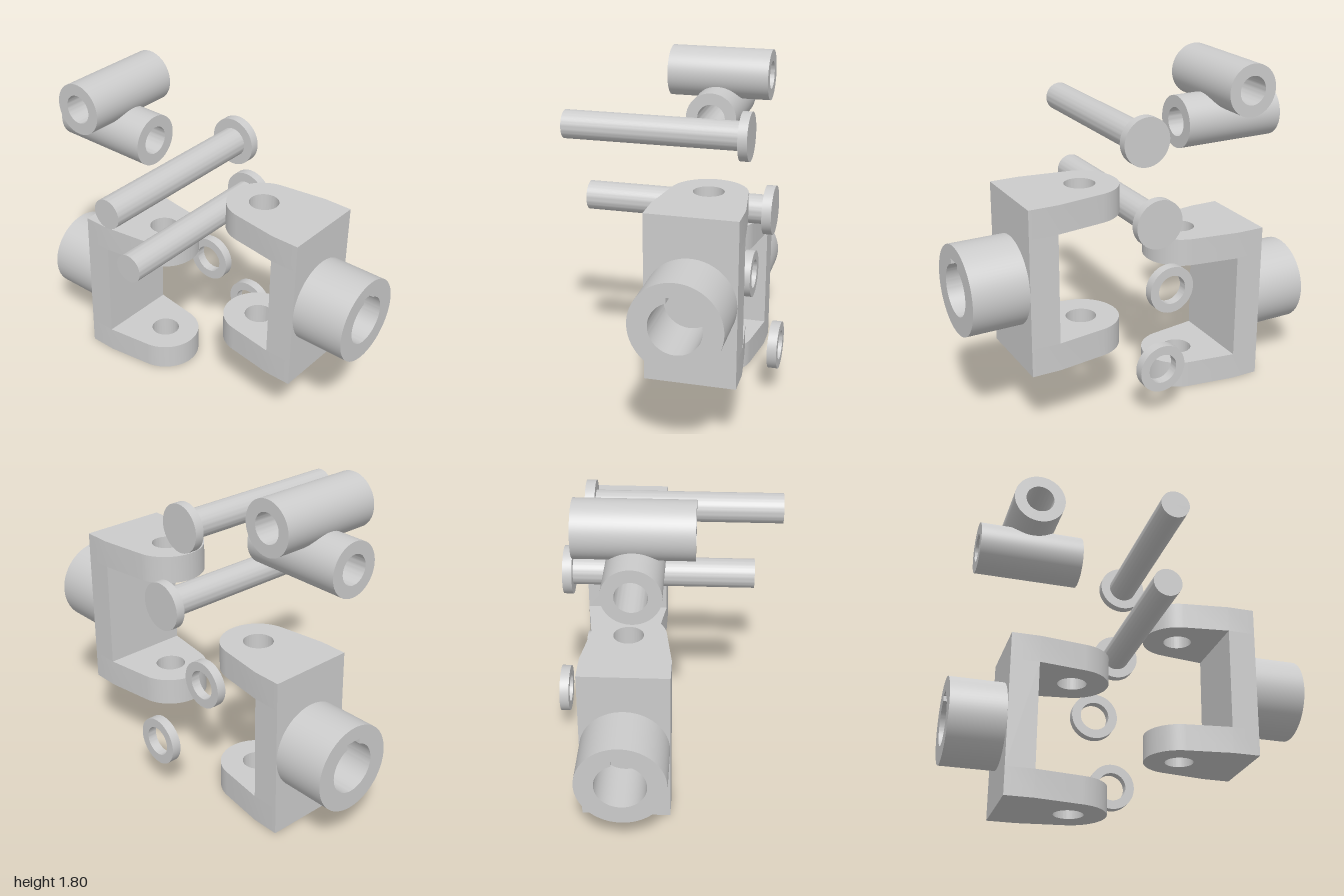
import * as THREE from 'three';
import { toCreasedNormals } from 'three/addons/utils/BufferGeometryUtils.js';

const material = new THREE.MeshStandardMaterial({ color: 0xcccccc });
const SEGMENTS = 64;

function part(name, geometry, parent) {
  const mesh = new THREE.Mesh(geometry, material);
  mesh.name = name;
  parent.add(mesh);
  return mesh;
}

const lathe = (points) =>
  toCreasedNormals(new THREE.LatheGeometry(points.map(([r, y]) => new THREE.Vector2(r, y)), SEGMENTS), 0.6);

const extrude = (shape, depth) =>
  toCreasedNormals(new THREE.ExtrudeGeometry(shape, { depth, bevelEnabled: false, curveSegments: 40 }), 0.4);

// Hollow cylinder along y, centred, with its walls divided into rows
function tube(outer, inner, length, rows = 1) {
  const points = [[inner, -length / 2]];
  for (let i = 0; i <= rows; i++) points.push([outer, length * (i / rows - 0.5)]);
  points.push([inner, length / 2], [inner, -length / 2]);
  return lathe(points);
}

// Pushes vertices out of a crossing bore, vertically (side -1: down, +1: up)
function carve(geometry, axis, centre, radius, height, side) {
  const p = geometry.attributes.position;
  for (let i = 0; i < p.count; i++) {
    const d = (axis === 'x' ? p.getX(i) : p.getZ(i)) - centre;
    if (Math.abs(d) >= radius) continue;
    const wall = height + side * Math.sqrt(radius * radius - d * d);
    if ((p.getY(i) - wall) * side < 0) p.setY(i, wall);
  }
  return geometry;
}

// Fork with two eyed arms, a back plate and a keyed hub; origin at the eye axis, hub toward +x
function makeYoke(name) {
  const yoke = new THREE.Group();
  yoke.name = name;
  const half = 0.4425, thick = 0.15, width = 0.47, front = 0.23, back = 0.385;

  const tangent = 1.713;
  const outline = new THREE.Shape();
  outline.moveTo(back, -width / 2);
  outline.lineTo(back, width / 2);
  outline.lineTo(front, width / 2);
  outline.absarc(0, 0, 0.2, tangent, Math.PI * 2 - tangent, false);
  outline.lineTo(front, -width / 2);
  outline.closePath();
  outline.holes.push(new THREE.Path().absarc(0, 0, 0.08, 0, Math.PI * 2, true));
  const arm = extrude(outline, thick).rotateX(-Math.PI / 2);
  part('upperArm', arm, yoke).position.y = half - thick;
  part('lowerArm', arm, yoke).position.y = -half;

  const plate = new THREE.BoxGeometry(back - front, 2 * (half - thick), width);
  part('backPlate', plate, yoke).position.x = (front + back) / 2;

  // Hub with a blind bore and a keyway at the top
  const bore = 0.133, key = 0.043;
  const a = Math.acos(key / bore);
  const hub = new THREE.Shape().absarc(0, 0, 0.233, 0, Math.PI * 2, false);
  const hole = new THREE.Path();
  hole.moveTo(key, 0.155);
  hole.lineTo(-key, 0.155);
  hole.absarc(0, 0, bore, Math.PI - a, Math.PI * 2 + a, false);
  hole.closePath();
  hub.holes.push(hole);
  part('hub', extrude(hub, 0.295).rotateY(Math.PI / 2), yoke).position.x = back;
  return yoke;
}

export function createModel() {
  const model = new THREE.Group();
  model.name = 'explodedUniversalJoint';

  // Yokes facing each other
  const leftYoke = makeYoke('leftYoke');
  leftYoke.position.set(0.32, 0.8175, -0.26);
  const rightYoke = makeYoke('rightYoke');
  rightYoke.position.set(-0.32, 0.4425, -0.185);
  rightYoke.rotation.y = Math.PI;
  model.add(leftYoke, rightYoke);

  // Cross block: two fused sleeves at right angles, each clear of the other's bore
  const cross = new THREE.Group();
  cross.name = 'crossBlock';
  cross.position.set(-0.608, 1.457, -0.123);
  const sleeve = 0.142, bore = 0.078, rise = 0.198, length = 0.573;
  const lower = tube(sleeve, bore, length, 60).rotateZ(-Math.PI / 2);
  const upper = tube(sleeve, bore, length, 60).rotateX(Math.PI / 2).translate(0, rise, 0);
  // Only the overlapping strips are moved
  const trim = (geometry, axis, height, side) => {
    const old = geometry.attributes.position.clone();
    carve(geometry, axis, 0, bore + 0.001, height, side);
    const p = geometry.attributes.position;
    for (let i = 0; i < p.count; i++) {
      const gap = Math.abs(old.getY(i) - height);
      if (gap > bore + 0.001 || Math.abs(p.getY(i) - old.getY(i)) > 0.03) p.setY(i, old.getY(i));
    }
  };
  trim(lower, 'x', rise, -1);
  trim(upper, 'z', 0, 1);
  part('lowerSleeve', lower, cross);
  part('upperSleeve', upper, cross);
  model.add(cross);

  // Headed pins, heads at the back
  const pin = lathe([[0, 0], [0.13, 0], [0.13, 0.05], [0.078, 0.05], [0.078, 1.018], [0, 1.018]]).rotateX(Math.PI / 2);
  part('upperPin', pin, model).position.set(0.018, 1.47, -0.415);
  part('lowerPin', pin, model).position.set(0.018, 1.08, -0.55);

  // Retaining collars
  const collar = tube(0.13, 0.08, 0.052).rotateX(Math.PI / 2);
  part('upperCollar', collar, model).position.set(-0.139, 0.637, -0.395);
  part('lowerCollar', collar, model).position.set(0.018, 0.296, -0.578);

  return model;
}
